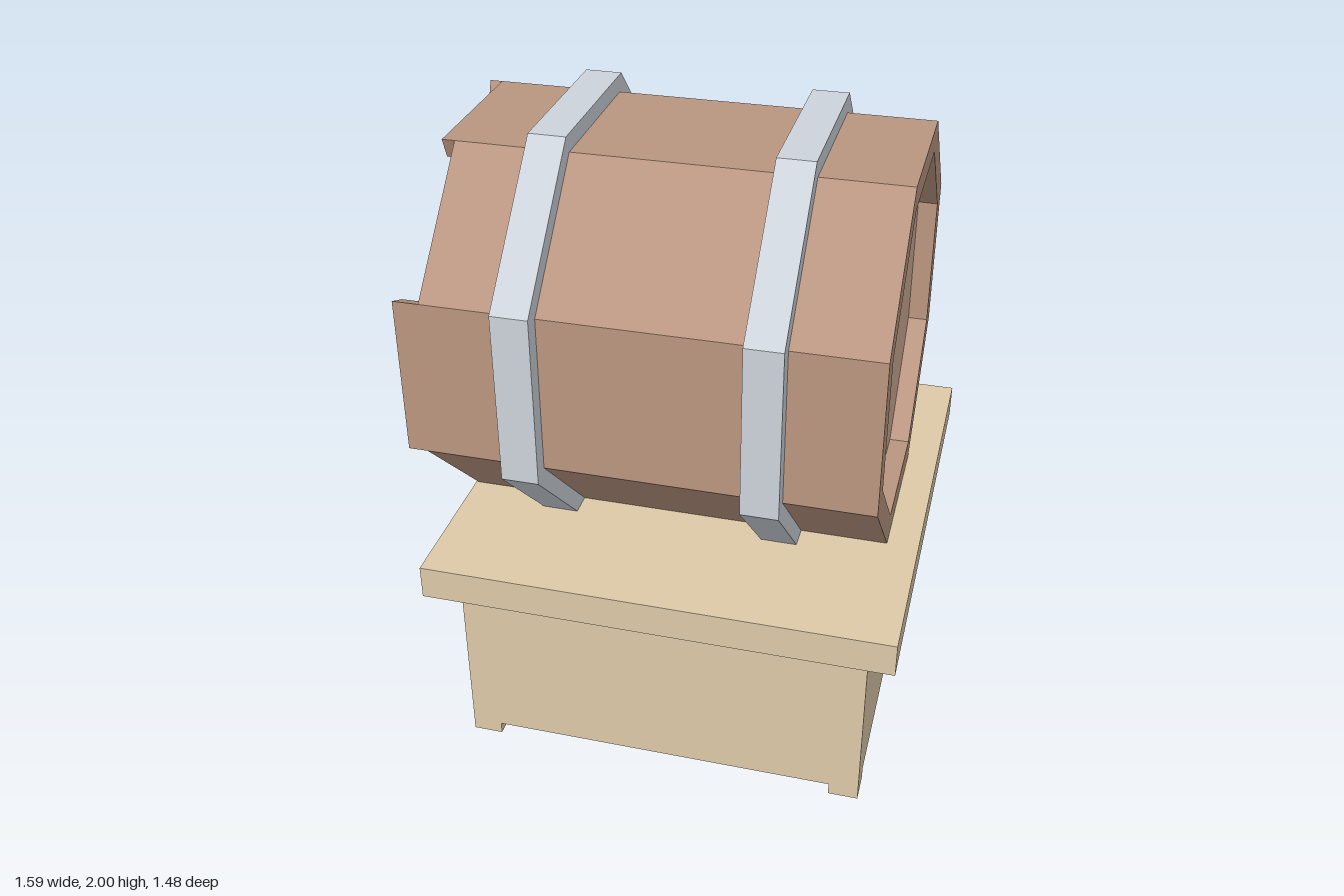
import * as THREE from 'three';
import { ConvexGeometry } from 'three/addons/geometries/ConvexGeometry.js';

const mat = (color) => new THREE.MeshStandardMaterial({ color, flatShading: true });
const AXIS_Y = 1.335; // height of the barrel's axis

function add(parent, name, geometry, material, x = 0, y = 0, z = 0) {
  const mesh = new THREE.Mesh(geometry, material);
  mesh.name = name;
  mesh.position.set(x, y, z);
  parent.add(mesh);
  return mesh;
}

// Octagonal prism along x, measured from its centre to its flats
function octagon(apothem, length) {
  const r = apothem / Math.cos(Math.PI / 8);
  return new THREE.CylinderGeometry(r, r, length, 8, 1, false, Math.PI / 8).rotateZ(Math.PI / 2);
}

// One board with mitred sides, slightly thicker towards its +x end
function stave(index, start, end) {
  const points = [];
  for (const [x, inner] of [[start, 0.545], [end, 0.525]]) {
    for (const apothem of [inner, 0.61]) {
      for (const side of [-0.5, 0.5]) {
        const a = (index + side) * Math.PI / 4;
        const r = apothem / Math.cos(Math.PI / 8);
        points.push(new THREE.Vector3(x, r * Math.cos(a), r * Math.sin(a)));
      }
    }
  }
  return new ConvexGeometry(points);
}

export function createModel() {
  const model = new THREE.Group();
  model.name = 'barrelOnStand';
  const pine = mat(0xdcc9a8), oak = mat(0xb99680), lidWood = mat(0xcead96), metal = mat(0xcdd3db);

  // Stand: crate, overhanging top and four corner feet
  const stand = new THREE.Group();
  stand.name = 'stand';
  stand.position.x = 0.053;
  model.add(stand);
  add(stand, 'standBody', new THREE.BoxGeometry(1.3, 0.58, 1.3), pine, 0, 0.33, 0);
  add(stand, 'standTop', new THREE.BoxGeometry(1.48, 0.11, 1.48), pine, 0, 0.675, 0);
  for (const sx of [-1, 1]) {
    for (const sz of [-1, 1]) {
      add(stand, 'foot', new THREE.BoxGeometry(0.095, 0.04, 0.095), pine, sx * 0.6025, 0.02, sz * 0.6025);
    }
  }

  // Barrel lying along x
  const barrel = new THREE.Group();
  barrel.name = 'barrel';
  barrel.position.y = AXIS_Y;
  model.add(barrel);

  // Uneven board ends around the tap side, from the top round towards the front
  const starts = [-0.70, -0.66, -0.74, -0.68, -0.68, -0.67, -0.70, -0.74];
  starts.forEach((start, i) => add(barrel, 'stave', stave(i, start, 0.693), oak));

  // Recessed lids are the two ends of one inner core
  add(barrel, 'lids', octagon(0.56, 1.25), lidWood, 0.005, 0, 0);
  for (const x of [-0.365, 0.36]) add(barrel, 'hoop', octagon(0.665, 0.115), metal, x, 0, 0);

  // Tap, turned slightly about its axis
  const tap = new THREE.Group();
  tap.name = 'tap';
  tap.position.set(0, 1.017, -0.007);
  tap.rotation.x = -0.15;
  model.add(tap);
  add(tap, 'spout', octagon(0.072, 0.14), metal, -0.67, 0, 0);
  add(tap, 'handle', new THREE.BoxGeometry(0.06, 0.175, 0.03), metal, -0.77, 0, 0);

  return model;
}
